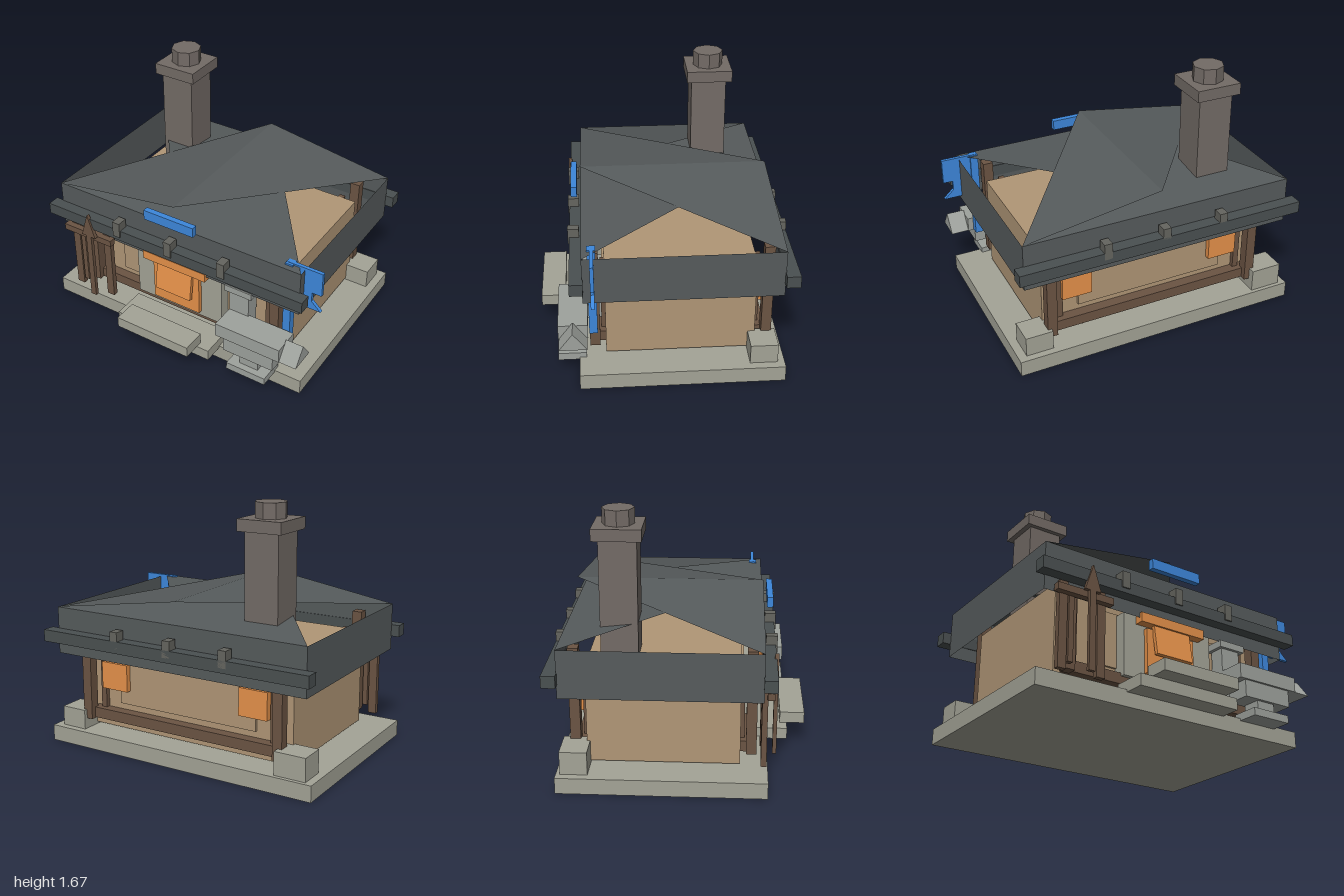
import * as THREE from 'three';

const material = (color, side = THREE.FrontSide) =>
  new THREE.MeshStandardMaterial({ color, side, flatShading: true });

export function createModel() {
  const group = new THREE.Group();
  const stone = material(0xa3a396), iron = material(0x9ea29d), plaster = material(0xb09676);
  const wood = material(0x6b5443), brick = material(0x736b66), slate = material(0x565b5c, THREE.DoubleSide);
  const trim = material(0x4a5051), bracketGrey = material(0x65655f);
  const orange = material(0xe5914a), blue = material(0x3d87db, THREE.DoubleSide);

  const add = (name, geometry, mat) => {
    const mesh = new THREE.Mesh(geometry, mat);
    mesh.name = name;
    group.add(mesh);
    return mesh;
  };
  // Box given by its limits on each axis
  const box = (name, mat, x0, x1, y0, y1, z0, z1) => {
    const mesh = add(name, new THREE.BoxGeometry(x1 - x0, y1 - y0, z1 - z0), mat);
    mesh.position.set((x0 + x1) / 2, (y0 + y1) / 2, (z0 + z1) / 2);
    return mesh;
  };
  const triangles = (name, mat, points) => {
    const geometry = new THREE.BufferGeometry();
    geometry.setAttribute('position', new THREE.Float32BufferAttribute(points.flat(), 3));
    geometry.computeVertexNormals();
    return add(name, geometry, mat);
  };
  const extrude = (name, mat, points, depth) => {
    const shape = new THREE.Shape(points.map(([x, y]) => new THREE.Vector2(x, y)));
    return add(name, new THREE.ExtrudeGeometry(shape, { depth, bevelEnabled: false }), mat);
  };

  // Foundation, corner stones and steps
  box('foundation', stone, -1, 0.935, 0, 0.105, -0.745, 0.545);
  box('cornerStoneLeft', stone, 0.7, 0.88, 0.1, 0.235, -0.7, -0.525);
  box('cornerStoneRight', stone, -0.95, -0.74, 0.1, 0.255, -0.72, -0.55);
  box('lowerStep', stone, -0.39, 0.33, 0.09, 0.165, 0.45, 0.68);
  box('upperStep', stone, -0.305, 0.245, 0.165, 0.24, 0.635, 0.795);

  // Walls with timber framing, front and back
  box('walls', plaster, -0.79, 0.72, 0.12, 0.75, -0.57, 0.375);
  for (const s of [-1, 1]) {
    const z = (offset) => -0.1 + s * offset;
    const span = (a, b) => [Math.min(z(a), z(b)), Math.max(z(a), z(b))];
    box('wallPanel', plaster, -0.54, 0.48, 0.295, 0.65, ...span(0.46, 0.49));
    box('sillBeam', wood, -0.74, 0.68, 0.18, 0.25, ...span(0.47, 0.54));
    for (const x of [-0.735, 0.69]) box('cornerPost', wood, x - 0.033, x + 0.033, 0.175, 0.86, ...span(0.51, 0.575));
    for (const x of [-0.67, 0.61]) box('wallStud', wood, x - 0.02, x + 0.02, 0.18, 0.75, ...span(0.465, 0.5));
  }
  for (const x of [-0.54, 0.5]) box('backWindow', orange, x - 0.1, x + 0.1, 0.39, 0.57, -0.625, -0.57);

  // Roof: open skirt and four crossing slopes
  const [x0, x1, z0, z1, eave, top] = [-0.945, 0.88, -0.715, 0.51, 0.92, 1.062];
  const fl = [x0, eave, z1], fr = [x1, eave, z1], bl = [x0, eave, z0], br = [x1, eave, z0];
  const ridgeFront = [-0.03, top, z1], ridgeBack = [-0.03, top, z0];
  triangles('roofSlopes', slate, [
    fl, fr, ridgeBack, br, bl, ridgeFront,
    fl, ridgeFront, ridgeBack, br, ridgeBack, ridgeFront,
  ]);
  const low = ([x, , z]) => [x, 0.61, z];
  const corners = [fl, fr, br, bl];
  triangles('roofSkirt', slate, corners.flatMap((a, i) => {
    const b = corners[(i + 1) % 4];
    return [low(a), low(b), b, low(a), b, a];
  }));

  // Eave beams and their brackets
  box('frontEaveBeam', trim, -1, 0.935, 0.7, 0.778, 0.505, 0.587);
  box('backEaveBeam', trim, -1, 0.935, 0.7, 0.778, -0.797, -0.71);
  for (const x of [-0.43, -0.03, 0.367]) {
    box('frontBracket', bracketGrey, x - 0.027, x + 0.027, 0.73, 0.838, 0.525, 0.597);
    box('backBracket', bracketGrey, x - 0.027, x + 0.027, 0.73, 0.838, -0.797, -0.73);
  }

  // Chimney
  box('chimneyStack', brick, -0.63, -0.4, 0.7, 1.5, -0.49, -0.257);
  box('chimneyCap', brick, -0.665, -0.365, 1.495, 1.57, -0.527, -0.225);
  const pot = add('chimneyPot', new THREE.CylinderGeometry(0.1, 0.1, 0.1, 8), brick);
  pot.position.set(-0.515, 1.618, -0.376);

  // Hearth opening
  box('hearthSurround', stone, -0.36, 0.3, 0.23, 0.64, 0.37, 0.47);
  box('hearthPanel', orange, -0.21, 0.145, 0.27, 0.56, 0.46, 0.5);
  box('hearthLintel', orange, -0.27, 0.21, 0.58, 0.642, 0.46, 0.53);
  const flap = box('hearthFlap', orange, -0.167, 0.103, 0.385, 0.6, 0.505, 0.53);
  flap.rotation.x = -0.15;
  box('pillar', iron, 0.38, 0.52, 0.24, 0.58, 0.4, 0.5);
  box('pillarCap', iron, 0.355, 0.55, 0.575, 0.62, 0.39, 0.52);

  // Anvil with a three-sided horn
  box('anvilBase', iron, 0.47, 0.75, 0.09, 0.14, 0.5, 0.68);
  box('anvilNeck', iron, 0.54, 0.675, 0.14, 0.215, 0.515, 0.635);
  box('anvilBody', iron, 0.43, 0.79, 0.212, 0.325, 0.5, 0.655);
  box('anvilTop', iron, 0.38, 0.84, 0.322, 0.418, 0.485, 0.67);
  const horn = extrude('anvilHorn', iron, [[-0.088, 0.322], [0.088, 0.322], [0, 0.44]], 0.12);
  horn.rotation.y = Math.PI / 2;
  horn.position.set(0.838, 0, 0.578);

  // Weapon rack
  box('rackBar', wood, -0.89, -0.505, 0.6, 0.645, 0.53, 0.575);
  for (const x of [-0.828, -0.567]) box('rackPole', wood, x - 0.028, x + 0.028, 0.14, 0.685, 0.5, 0.535);
  box('leaningShaft', wood, -0.79, -0.755, 0.19, 0.65, 0.5, 0.535);
  box('spearShaft', wood, -0.688, -0.646, 0.14, 0.66, 0.575, 0.6);
  const spear = extrude('spearHead', wood, [[-0.055, 0.64], [0.055, 0.64], [0, 0.81]], 0.025);
  spear.position.set(-0.667, 0, 0.575);

  // Flag, its pole and the roof plaque
  box('flagPole', blue, 0.753, 0.805, 0.33, 0.935, 0.425, 0.477);
  box('flagCloth', blue, 0.755, 1, 0.77, 0.937, 0.437, 0.46);
  const tail = extrude('flagTail', blue,
    [[0.77, 0.77], [0.77, 0.645], [1, 0.645], [0.935, 0.705], [0.935, 0.77]], 0.023);
  tail.position.z = 0.437;
  box('roofPlaque', blue, -0.215, 0.155, 0.94, 1.008, 0.533, 0.572);

  return group;
}
